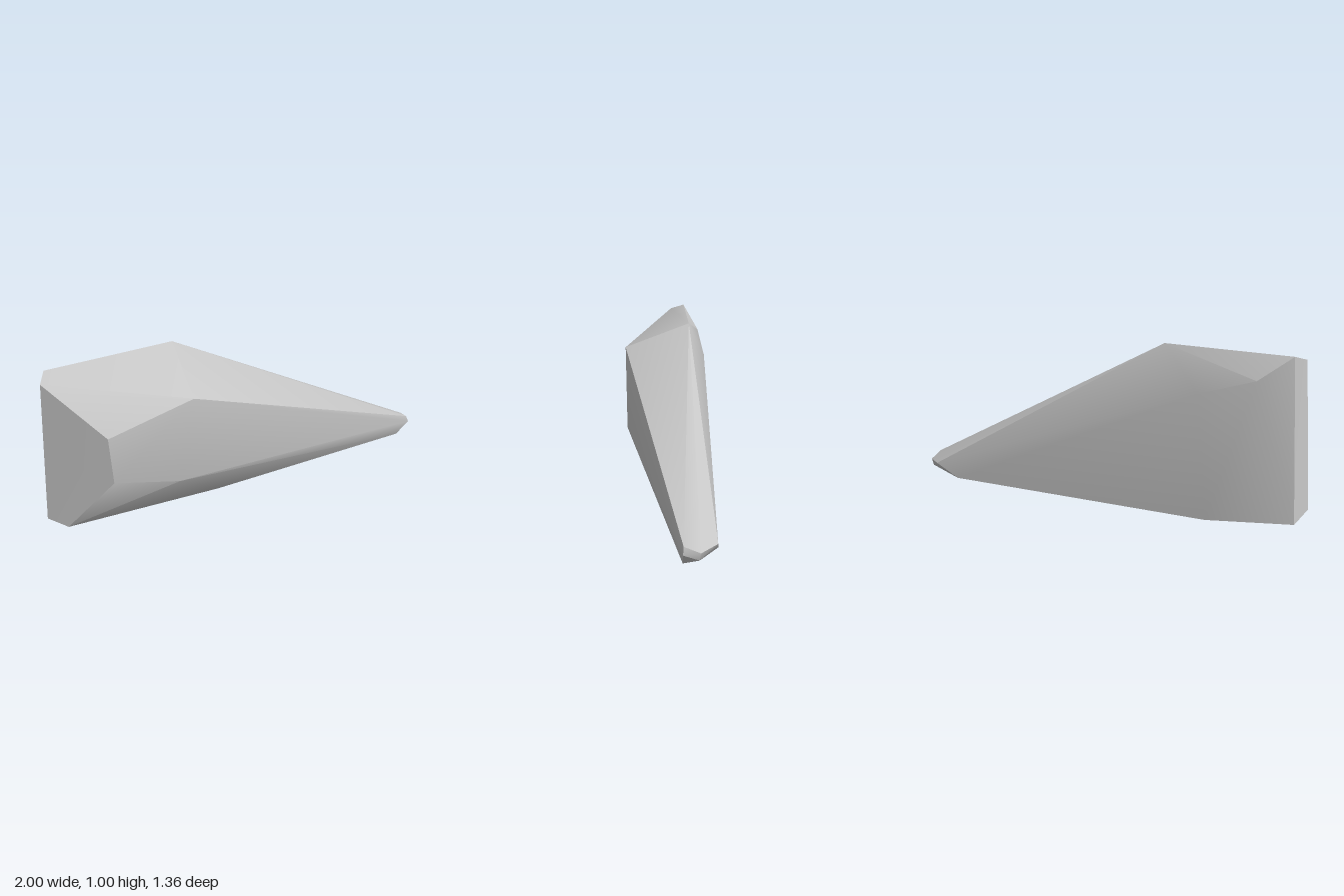
import * as THREE from 'three';
import { ConvexGeometry } from 'three/addons/geometries/ConvexGeometry.js';
import { toCreasedNormals } from 'three/addons/utils/BufferGeometryUtils.js';

export function createModel() {
  const group = new THREE.Group();
  group.name = 'rockShard';

  const stone = new THREE.MeshStandardMaterial({ color: 0xc6c6c6 });
  stone.name = 'pale stone grey';

  // Chiselled corners of the stone, grouped by region
  const corners = {
    top: [[-0.96, 0.97, 0.57], [-0.96, 1, 0.48], [-0.34, 1, 0.11]],
    front: [[-0.18, 0.855, 0.445], [-0.6, 0.725, 0.675], [-0.58, 0.45, 0.68], [-0.26, 0.345, 0.485]],
    foot: [[-0.86, 0.1, 0.635], [-0.98, 0.13, 0.61], [-1, 0.075, 0.49]],
    back: [[-0.85, 0.87, 0.32], [-0.59, 0.77, 0.14]],
    underside: [[-0.65, 0.02, 0.35], [-0.6, 0.04, 0.2], [-0.1, 0, 0.07], [0.7, 0.07, -0.615]],
    tip: [[0.985, 0.155, -0.57], [1, 0.115, -0.575], [0.93, 0.045, -0.535],
      [0.955, 0.125, -0.65], [0.83, 0.14, -0.68], [0.95, 0.085, -0.64]],
  };
  const points = Object.values(corners).flat().map((p) => new THREE.Vector3(...p));

  // Soft shading over shallow facets, crisp ridges elsewhere
  const geometry = toCreasedNormals(new ConvexGeometry(points), THREE.MathUtils.degToRad(35));
  const rock = new THREE.Mesh(geometry, stone);
  rock.name = 'rock';
  group.add(rock);
  return group;
}
